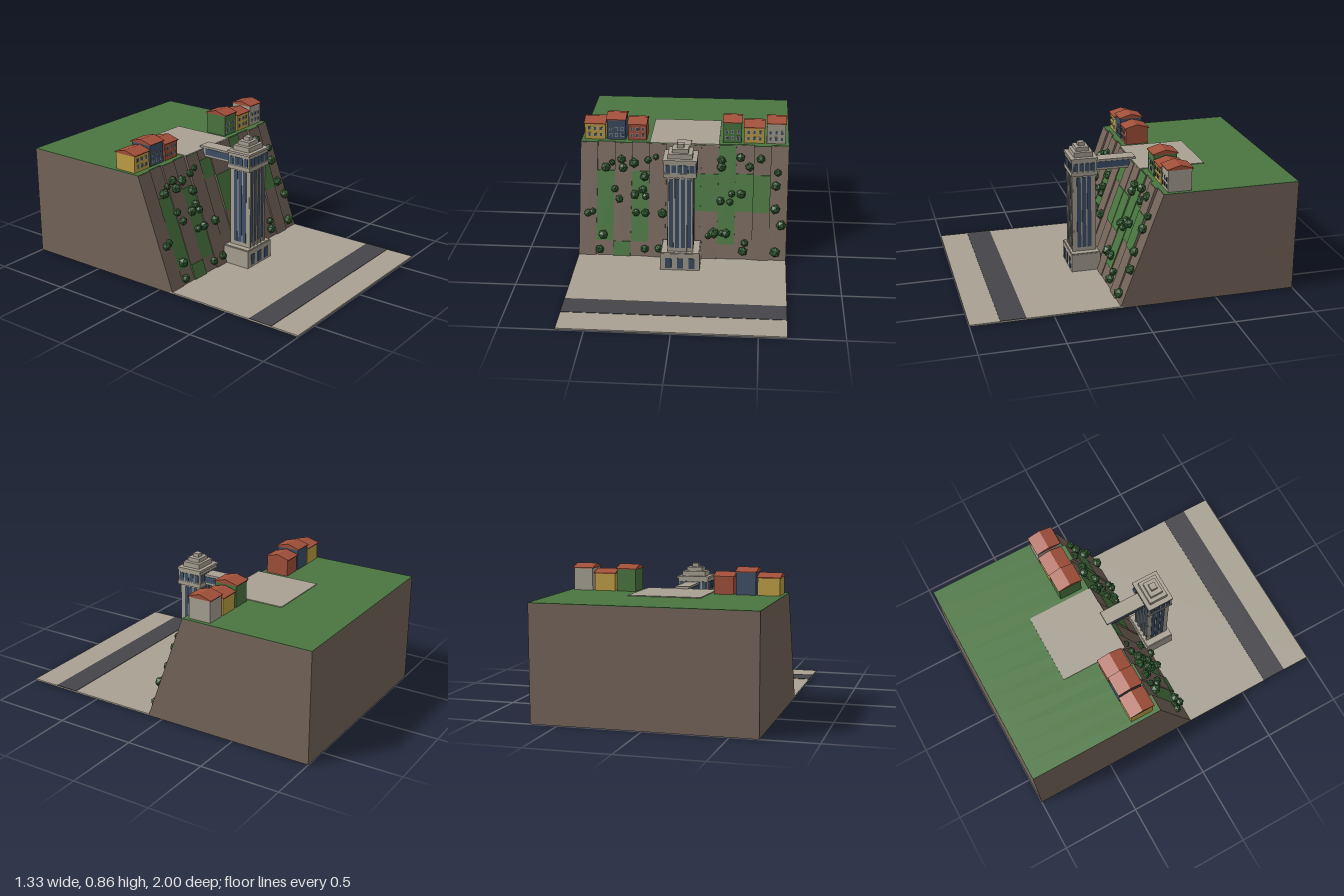
import * as THREE from 'three';

const mat = (name, color) => {
  const m = new THREE.MeshStandardMaterial({ color });
  m.name = name;
  return m;
};
const M = {
  stone: mat('pale stone', 0xa8a193),
  rock: mat('brown rock', 0x75655a),
  grass: mat('grass green', 0x4a7640),
  leaf: mat('dark foliage', 0x335c32),
  tile: mat('terracotta', 0xa2503a),
  ochre: mat('ochre', 0xc0a045),
  blue: mat('slate blue', 0x3d5068),
  road: mat('asphalt', 0x454449),
};
const W = 2 / 3;          // half width of the terrain
const TOP = 0.7;          // plateau height

function add(parent, name, geo, material) {
  const m = new THREE.Mesh(geo, material);
  m.name = name;
  parent.add(m);
  return m;
}

// Box given by its limits on each axis
function box(parent, name, material, x0, x1, y0, y1, z0, z1) {
  const g = new THREE.BoxGeometry(x1 - x0, y1 - y0, z1 - z0);
  g.translate((x0 + x1) / 2, (y0 + y1) / 2, (z0 + z1) / 2);
  return add(parent, name, g, material);
}

// Outline of [z, y] points extruded along x
function prism(parent, name, material, pts, x0, x1) {
  const shape = new THREE.Shape(pts.map(([z, y]) => new THREE.Vector2(z, y)));
  const g = new THREE.ExtrudeGeometry(shape, { depth: x1 - x0, bevelEnabled: false });
  g.rotateY(-Math.PI / 2).translate(x1, 0, 0);
  return add(parent, name, g, material);
}

function group(parent, name) {
  const g = new THREE.Group();
  g.name = name;
  parent.add(g);
  return g;
}

// Depth shift of each vertical rock slab
const shift = [0, -0.014, 0, -0.012, 0.006, -0.006, 0.008, 0.004, -0.008, -0.014, 0.006, -0.012];
const slopeZ = (y, d) => 0.105 + d * 0.4 - (y / TOP) * (0.252 - d * 0.6);

function buildCliff(root) {
  const cliff = group(root, 'cliff');
  const w = (2 * W) / 12;
  const cap = TOP - 0.004;
  // Grass patches: [slab, bottom, top]
  const patches = [[1, 0.1, 0.525], [2, 0.012, 0.1], [3, 0.1, 0.525], [5, 0.525, 0.64], [4, 0.525, 0.64],
    [6, 0.3, 0.525], [7, 0.3, 0.525], [8, 0.1, 0.696], [9, 0.3, 0.525], [10, 0.3, 0.525]];
  shift.forEach((d, i) => {
    const x0 = -W + i * w, x1 = x0 + w;
    prism(cliff, 'rockSlab', M.rock, [[-1, 0], [slopeZ(0, d), 0], [slopeZ(cap, d), cap], [-1, cap]], x0, x1);
    box(cliff, 'plateauGrass', M.grass, x0, x1, cap, TOP, -1, slopeZ(TOP, d));
  });
  for (const [i, y0, y1] of patches) {
    if (i === 4) continue;
    const d = shift[i], x0 = -W + i * w;
    const a = slopeZ(y0, d), b = slopeZ(y1, d);
    prism(cliff, 'grassPatch', M.grass, [[a - 0.002, y0], [a + 0.004, y0], [b + 0.004, y1], [b - 0.002, y1]], x0, x0 + w);
  }
}

function buildBushes(root) {
  const bushes = group(root, 'bushes');
  // x, y, radius in hundredths
  const data = [
    -50, 55, 3.3, -46, 58, 2.2, -40, 60, 3, -39, 55, 3.2, -32, 58, 3.3, -23, 60, 2.6, -18, 62, 2.2,
    -25, 50, 3.2, -26, 42, 2.9, -31, 39, 3.2, -24, 38, 2.6, -44, 42, 2.6, -41, 36, 2.8, -30, 28, 2.6,
    -24, 28, 2.9, -13, 28, 3.3, -61, 27, 2.8, -58, 28, 2.4, -51, 14, 3.3, -53, 5, 2.9, -24, 6, 2.8,
    -15, 6.5, 2.9, 24, 61, 3, 24, 57, 3.3, 36, 63, 3.1, 49, 62.5, 3, 42, 57.5, 3, 60, 54.5, 2.5,
    59, 46.5, 3.2, 37, 41, 3.2, 24, 36.5, 2.9, 30, 36, 2.5, 31, 41, 2.5, 59, 32.5, 3.3, 63, 23, 3.4,
    20, 17, 3.6, 16.5, 15, 2.2, 25, 17, 2.2, 28, 17, 3.2, 40, 11.5, 2.6, 39, 6.5, 3.2, 59.5, 6.5, 3.5];
  for (let i = 0; i < data.length; i += 3) {
    const [x, y, r] = data.slice(i, i + 3).map((v) => v / 100);
    const b = add(bushes, 'bush', new THREE.IcosahedronGeometry(r, 0), M.leaf);
    b.position.set(x, y, slopeZ(y, 0) + 0.008);
    b.rotation.set(i * 0.7, i * 1.3, i * 0.4);
  }
}

function buildTower(root) {
  const tower = group(root, 'tower');
  tower.position.z = 0.174;
  const tier = (name, hx, hz, y0, y1) => box(tower, name, M.stone, -hx, hx, y0, y1, -hz, hz);
  // Row of panes on all four faces
  const panes = (name, nx, px, nz, pz, wide, y0, y1, hx, hz) => {
    for (const s of [-1, 1]) {
      for (let i = 0; i < nx; i++) {
        const c = (i - (nx - 1) / 2) * px;
        box(tower, name, M.blue, c - wide / 2, c + wide / 2, y0, y1, s * hz - 0.003, s * hz + 0.003);
      }
      for (let i = 0; i < nz; i++) {
        const c = (i - (nz - 1) / 2) * pz;
        box(tower, name, M.blue, s * hx - 0.003, s * hx + 0.003, y0, y1, c - wide / 2, c + wide / 2);
      }
    }
  };
  tier('base', 0.124, 0.093, 0.01, 0.125);
  tier('baseLedge', 0.119, 0.089, 0.125, 0.131);
  tier('shaft', 0.08, 0.068, 0.131, 0.642);
  tier('head', 0.098, 0.08, 0.642, 0.745);
  tier('headBand', 0.101, 0.083, 0.642, 0.668);
  tier('cornice', 0.105, 0.085, 0.743, 0.757);
  tier('crownLower', 0.075, 0.06, 0.757, 0.788);
  tier('crownMiddle', 0.05, 0.041, 0.788, 0.813);
  tier('crownTop', 0.021, 0.02, 0.813, 0.836);
  panes('tallWindow', 4, 0.037, 3, 0.033, 0.025, 0.157, 0.628, 0.08, 0.068);
  panes('lookoutWindow', 5, 0.037, 4, 0.036, 0.028, 0.674, 0.724, 0.098, 0.08);
  // Entrance openings on the base front
  for (const x of [-0.073, 0, 0.073])
    box(tower, 'entrance', M.blue, x - 0.019, x + 0.019, 0.024, 0.095, 0.09, 0.096);
  // Slim ribs on the shaft
  for (const s of [-1, 1]) {
    for (const x of [-0.074, -0.037, 0, 0.037, 0.074])
      box(tower, 'rib', M.stone, x - 0.005, x + 0.005, 0.131, 0.642, s * 0.07 - 0.006, s * 0.07 + 0.006);
  }
}

function buildBridge(root) {
  const bridge = group(root, 'footbridge');
  box(bridge, 'bridgeBody', M.stone, -0.038, 0.038, 0.65, 0.708, -0.16, 0.1);
  box(bridge, 'bridgeRoof', M.stone, -0.045, 0.045, 0.708, 0.72, -0.168, 0.1);
  for (const s of [-1, 1])
    box(bridge, 'bridgeGlass', M.blue, s * 0.038 - 0.003, s * 0.038 + 0.003, 0.664, 0.704, -0.13, 0.085);
}

function buildHouse(root, x0, x1, eave, wall) {
  const house = group(root, 'house');
  const zb = -0.335, zf = -0.19, zm = (zb + zf) / 2;
  box(house, 'houseWalls', wall, x0, x1, TOP - 0.002, eave, zb, zf);
  prism(house, 'gableRoof', M.tile,
    [[zb - 0.008, eave - 0.001], [zf + 0.008, eave - 0.001], [zf + 0.008, eave + 0.004], [zm, eave + 0.027], [zb - 0.008, eave + 0.004]],
    x0 - 0.004, x1 + 0.004);
  // Two rows of three framed windows
  for (const y of [0.732, 0.774]) for (const k of [-1, 0, 1]) {
    const c = (x0 + x1) / 2 + k * 0.037;
    box(house, 'windowFrame', M.stone, c - 0.01, c + 0.01, y - 0.013, y + 0.013, zf - 0.002, zf + 0.002);
    box(house, 'windowPane', M.blue, c - 0.007, c + 0.007, y - 0.01, y + 0.01, zf - 0.002, zf + 0.004);
  }
}

export function createModel() {
  const root = new THREE.Group();
  root.name = 'cliffTowerScene';
  // Lower ground and road
  box(root, 'lowerPlaza', M.stone, -W, W, 0.001, 0.011, 0.08, 1);
  box(root, 'road', M.road, -W, W, 0.008, 0.0135, 0.665, 0.82);
  buildCliff(root);
  box(root, 'upperPlaza', M.stone, -0.222, 0.222, 0.698, 0.705, -0.56, -0.142);
  buildBushes(root);
  buildTower(root);
  buildBridge(root);
  // Houses on both sides of the upper plaza
  buildHouse(root, -0.645, -0.512, 0.805, M.ochre);
  buildHouse(root, -0.501, -0.381, 0.835, M.blue);
  buildHouse(root, -0.366, -0.247, 0.805, M.tile);
  buildHouse(root, 0.245, 0.363, 0.835, M.grass);
  buildHouse(root, 0.379, 0.508, 0.805, M.ochre);
  buildHouse(root, 0.523, 0.642, 0.835, M.stone);
  return root;
}
